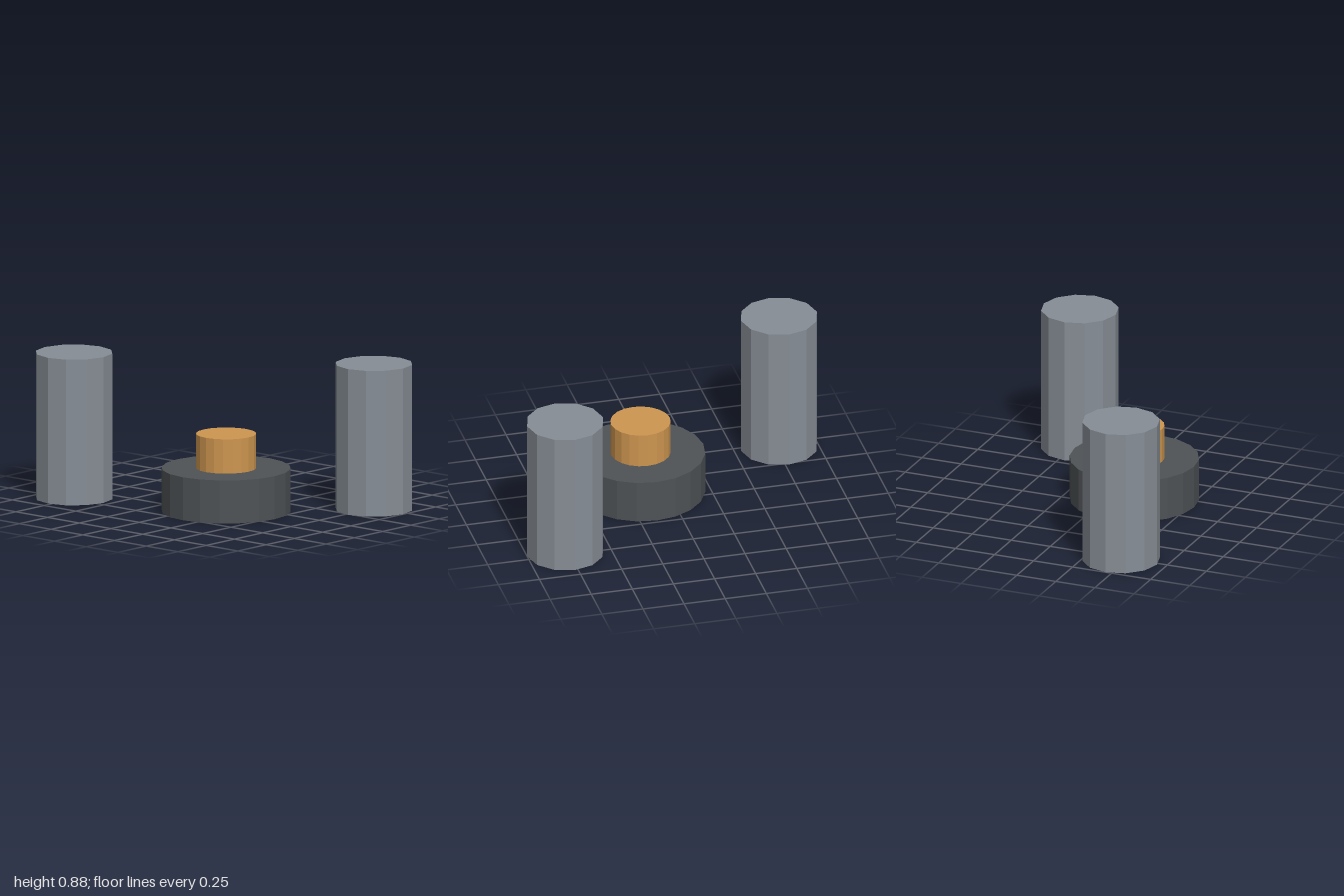
import * as THREE from 'three';

const mat = (name, color) => {
  const m = new THREE.MeshStandardMaterial({ color, flatShading: true });
  m.name = name;
  return m;
};

// Upright faceted cylinder standing on height y
function drum(name, radius, height, sides, material, x, y, z) {
  const mesh = new THREE.Mesh(new THREE.CylinderGeometry(radius, radius, height, sides), material);
  mesh.name = name;
  mesh.position.set(x, y + height / 2, z);
  return mesh;
}

export function createModel() {
  const steel = mat('steel grey', 0x878e96);
  const iron = mat('dark iron', 0x4f5356);
  const brass = mat('brass', 0xce9650);
  const model = new THREE.Group();
  model.name = 'pillarsAndPedestal';

  // Two tall pillars on opposite corners
  model.add(drum('leftPillar', 0.23, 0.875, 12, steel, 0.77, 0, -0.462));
  model.add(drum('rightPillar', 0.23, 0.875, 12, steel, -0.77, 0, 0.462));

  // Low round base with a brass hub on top
  model.add(drum('base', 0.382, 0.258, 20, iron, 0.152, 0, 0.152));
  model.add(drum('hub', 0.178, 0.206, 20, brass, 0.152, 0.258, 0.152));
  return model;
}
